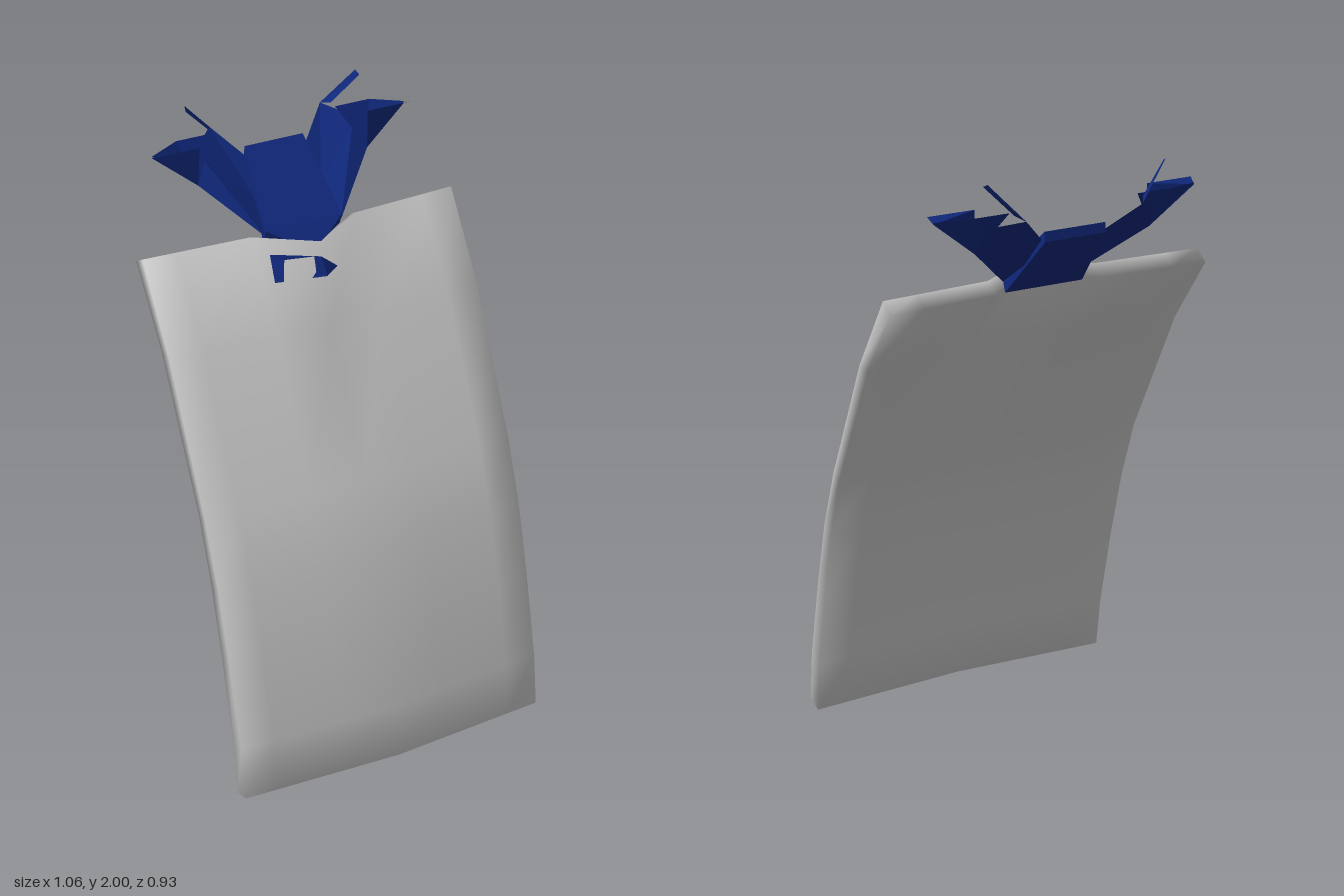
import * as THREE from 'three';
import { ConvexGeometry } from 'three/addons/geometries/ConvexGeometry.js';

const grey = new THREE.MeshStandardMaterial({ color: 0xcccccc });
grey.name = 'pale grey';
const blue = new THREE.MeshStandardMaterial({ color: 0x10287c, side: THREE.DoubleSide });
blue.name = 'deep blue';

// Curved slab: closed rings of columns stacked along a leaning profile
function slabGeometry() {
  // front height, front depth, back height, back depth at the side edges
  const rows = [
    [0.02, 0.465, 0, 0.375], [0.2, 0.44, 0.18, 0.35], [0.48, 0.37, 0.46, 0.285],
    [0.72, 0.3, 0.7, 0.22], [0.93, 0.215, 0.91, 0.145], [1.37, -0.01, 1.37, -0.1],
    [1.63, -0.19, 1.6, -0.27],
  ];
  const cols = [-0.53, -0.42, -0.18, 0, 0.18, 0.42, 0.53];
  const n = cols.length, ring = 2 * n, pos = [], idx = [];
  rows.forEach(([yf, zf, yb, zb], r) => {
    const top = r === rows.length - 1;
    const bow = (x) => 0.03 * Math.abs(x) / 0.53;
    // the middle of the top edge is pinched forward
    const pinch = (x, amount) => (top && x === 0 ? amount : 0);
    for (const x of cols) pos.push(x, yf, zf - bow(x) + pinch(x, 0.11));
    for (const x of [...cols].reverse()) pos.push(x, yb, zb + 0.03 - bow(x) + pinch(x, 0.13));
  });
  for (let r = 0; r < rows.length - 1; r++) {
    for (let i = 0; i < ring; i++) {
      const a = r * ring + i, b = r * ring + (i + 1) % ring;
      idx.push(a, b, b + ring, a, b + ring, a + ring);
    }
  }
  const t = (rows.length - 1) * ring;
  for (let i = 0; i < n - 1; i++) {
    const f = i, g = i + 1, h = ring - 2 - i, k = ring - 1 - i;
    idx.push(t + f, t + g, t + h, t + f, t + h, t + k);
    idx.push(f, h, g, f, k, h);
  }
  const geo = new THREE.BufferGeometry();
  geo.setAttribute('position', new THREE.Float32BufferAttribute(pos, 3));
  geo.setIndex(idx);
  geo.computeVertexNormals();
  return geo;
}

// Flat-faceted sheet fanned from its first corner
function sheet(name, points, side = 1) {
  const pos = [];
  for (let i = 1; i < points.length - 1; i++) {
    const tri = side > 0 ? [0, i, i + 1] : [0, i + 1, i];
    for (const k of tri) pos.push(points[k][0] * side, points[k][1], points[k][2]);
  }
  const geo = new THREE.BufferGeometry();
  geo.setAttribute('position', new THREE.Float32BufferAttribute(pos, 3));
  geo.computeVertexNormals();
  const mesh = new THREE.Mesh(geo, blue);
  mesh.name = name;
  return mesh;
}

export function createModel() {
  const model = new THREE.Group();
  model.name = 'curvedPanelWithCrest';

  const slab = new THREE.Mesh(slabGeometry(), grey);
  slab.name = 'curvedPanel';
  model.add(slab);

  // Crest middle, a wedge resting in the pinched top edge
  const wedge = [[0, 1.57, -0.12]];
  for (const s of [-1, 1]) {
    wedge.push([s * 0.1, 1.83, -0.405], [s * 0.1, 1.8, -0.41], [s * 0.13, 1.64, -0.195], [s * 0.13, 1.59, -0.215]);
  }
  const middle = new THREE.Mesh(
    new ConvexGeometry(wedge.map((p) => new THREE.Vector3(...p))), blue);
  middle.name = 'crestMiddle';
  model.add(middle);

  // Mirrored arms, each ending in a flap and a thin spike
  for (const s of [1, -1]) {
    const arm = new THREE.Group();
    arm.name = s > 0 ? 'leftCrestArm' : 'rightCrestArm';
    const lowRoot = [0.13, 1.62, -0.2], highRoot = [0.1, 1.8, -0.39];
    const lowEnd = [0.29, 1.77, -0.335], highEnd = [0.19, 1.89, -0.465];
    const midRoot = [0.11, 1.69, -0.3], midEnd = [0.27, 1.86, -0.39];
    arm.add(
      sheet('lowerArmFace', [lowRoot, lowEnd, midEnd, midRoot], s),
      sheet('upperArmFace', [midRoot, midEnd, highEnd, highRoot], s),
      sheet('flap', [lowEnd, [0.43, 1.89, -0.355], [0.33, 1.9, -0.4], [0.21, 1.9, -0.4], midEnd], s),
      sheet('flapLip', [[0.43, 1.885, -0.355], [0.435, 1.9, -0.325], [0.285, 1.9, -0.325], lowEnd], s),
      sheet('spike', [highEnd, [0.29, 2, -0.42], [0.295, 1.99, -0.4], [0.21, 1.9, -0.43]], s),
    );
    model.add(arm);
  }

  // Small shard breaking through the front of the panel
  model.add(sheet('frontShard', [
    [0, 1.53, -0.038], [0.045, 1.545, -0.058], [-0.01, 1.59, -0.06],
    [-0.145, 1.59, -0.14], [-0.15, 1.515, -0.095],
  ]));

  return model;
}
